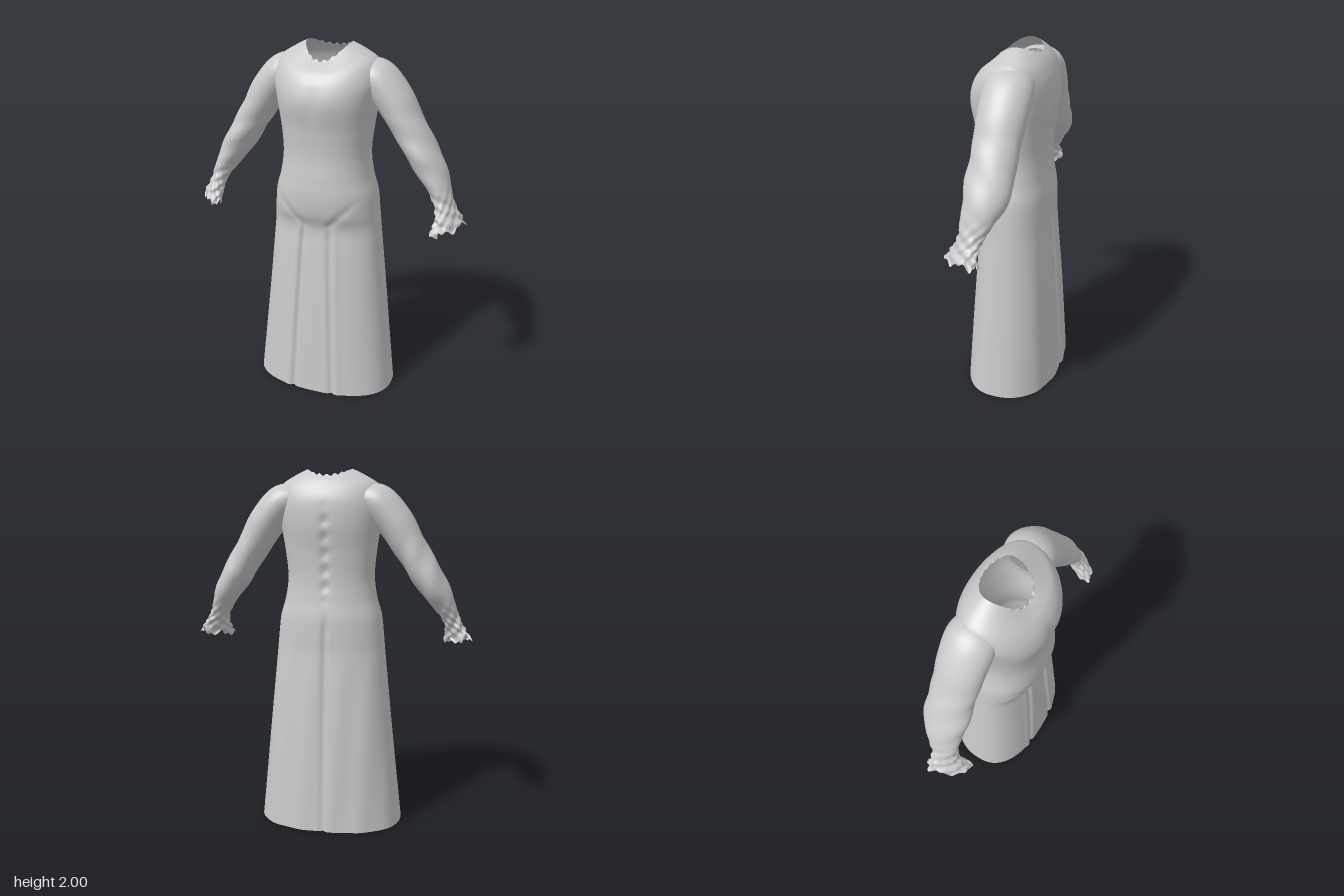
import * as THREE from 'three';

const cloth = new THREE.MeshStandardMaterial({ color: 0xc9c9c9, side: THREE.DoubleSide });
cloth.name = 'grey cloth';

// Smooth interpolation through rows of numbers, t in 0..1
function sampleRows(rows, t) {
  const f = t * (rows.length - 1);
  const i = Math.min(Math.floor(f), rows.length - 2);
  const k = f - i;
  const at = (j) => rows[Math.max(0, Math.min(rows.length - 1, j))];
  return rows[0].map((_, c) => {
    const [a, b, d, e] = [at(i - 1)[c], at(i)[c], at(i + 1)[c], at(i + 2)[c]];
    const m0 = (d - a) / 2, m1 = (e - b) / 2;
    return b + k * m0 + k * k * (3 * (d - b) - 2 * m0 - m1) + k * k * k * (2 * (b - d) + m0 + m1);
  });
}

// Open tube of closed rings; point(u, t) gives a position, u runs once round
function loft(point, around, along, flip) {
  const pos = [], idx = [];
  for (let j = 0; j <= along; j++)
    for (let i = 0; i < around; i++) pos.push(...point(i / around, j / along));
  for (let j = 0; j < along; j++)
    for (let i = 0; i < around; i++) {
      const n = (i + 1) % around;
      const a = j * around + i, b = j * around + n, c = a + around, d = b + around;
      if (flip) idx.push(a, b, c, b, d, c);
      else idx.push(a, c, b, b, c, d);
    }
  const g = new THREE.BufferGeometry();
  g.setAttribute('position', new THREE.Float32BufferAttribute(pos, 3));
  g.setIndex(idx);
  g.computeVertexNormals();
  return g;
}

// Gown rings: half width, front z, back z, widest z, side y, front y, back y
const gownRings = [
  [0.41, 0.27, -0.27, 0.02, 0, 0, 0],
  [0.378, 0.25, -0.253, 0.01, 0.3, 0.3, 0.3],
  [0.347, 0.228, -0.234, 0, 0.6, 0.6, 0.6],
  [0.322, 0.207, -0.215, 0, 0.85, 0.85, 0.85],
  [0.307, 0.194, -0.202, 0, 1.0, 1.0, 1.0],
  [0.297, 0.224, -0.2, 0, 1.1, 1.1, 1.1],
  [0.285, 0.234, -0.196, 0, 1.2, 1.2, 1.2],
  [0.257, 0.228, -0.183, 0, 1.3, 1.3, 1.3],
  [0.242, 0.217, -0.177, 0, 1.42, 1.42, 1.42],
  [0.254, 0.227, -0.186, -0.01, 1.56, 1.56, 1.56],
  [0.276, 0.25, -0.206, -0.015, 1.7, 1.7, 1.7],
  [0.295, 0.232, -0.204, -0.02, 1.81, 1.79, 1.82],
  [0.272, 0.196, -0.182, -0.03, 1.91, 1.85, 1.89],
  [0.205, 0.155, -0.155, -0.035, 1.96, 1.885, 1.935],
  [0.125, 0.113, -0.125, -0.03, 2.0, 1.912, 1.965],
];

const bump = (d, w) => Math.exp(-(d * d) / (w * w));
const ramp = THREE.MathUtils.smoothstep;

// Depth of the pressed-in seams and folds at x, y
function seamDepth(x, y, front) {
  const ax = Math.abs(x);
  if (front) {
    const below = 1 - ramp(y, 0.95, 1.06);
    const seamX = 0.075 + 0.045 * (1 - Math.min(y, 1));
    const seam = below * (0.014 * bump(ax - seamX, 0.012) - 0.005 * bump(ax - seamX - 0.035, 0.02));
    const groinX = 0.08 + (y - 1.03) * 0.9;
    const groin = 0.008 * bump(ax - groinX, 0.03) * ramp(y, 0.99, 1.06) * (1 - ramp(y, 1.1, 1.22));
    const chest = 0.006 * bump(x, 0.035) * bump(y - 1.72, 0.1);
    return seam + groin + chest;
  }
  const skirt = 0.015 * bump(x, 0.014) * (1 - ramp(y, 1.1, 1.25));
  const spine = bump(x, 0.025) * ramp(y, 1.25, 1.4) * (1 - ramp(y, 1.7, 1.85)) * (0.008 + 0.005 * Math.sin(y * 70));
  const folds = 0.003 * Math.sin(x * 38 + y * 2) * (1 - ramp(y, 0.8, 1.1));
  return skirt + spine + folds;
}

function gownPoint(u, t) {
  const [w, zf, zb, zc, ys, yf, yb] = sampleRows(gownRings, t);
  const a = u * Math.PI * 2;
  const c = Math.cos(a), s = Math.sin(a);
  const p = 2 / (2.35 - 0.35 * ramp(t, 0.55, 1)); // fuller hem, rounder neck
  const x = w * Math.sign(c) * Math.abs(c) ** p;
  const reach = Math.abs(s) ** p;
  const y = ys * c * c + (s > 0 ? yf : yb) * s * s;
  const press = seamDepth(x, y, s > 0) * Math.min(1, reach * 1.5);
  const z = s > 0 ? zc + (zf - zc) * reach - press : zc + (zb - zc) * reach + press;
  const torn = t > 0.99 ? 0.006 * Math.sin(a * 19) * ramp(Math.abs(s), 0.5, 1) : 0;
  return [x, Math.min(2, y + torn), z];
}

// Sleeve rings: centre x, y, z, radius across, radius in depth, twist
const sleeveRings = [
  [0.18, 1.845, -0.035, 0.075, 0.11, 0],
  [0.265, 1.82, -0.035, 0.1, 0.13, 0],
  [0.36, 1.715, -0.033, 0.1, 0.128, 0],
  [0.425, 1.61, -0.03, 0.091, 0.122, 0],
  [0.482, 1.52, -0.028, 0.086, 0.121, 0],
  [0.54, 1.425, -0.025, 0.083, 0.124, 0],
  [0.598, 1.335, -0.018, 0.073, 0.108, 0],
  [0.642, 1.255, 0.005, 0.056, 0.083, 0.1],
  [0.672, 1.185, 0.028, 0.044, 0.07, 0.3],
  [0.692, 1.125, 0.05, 0.043, 0.088, 0.5],
  [0.706, 1.07, 0.066, 0.05, 0.118, 0.55],
];

function sleevePoint(side) {
  return (u, t) => {
    const [x, y, z, ra, rb, twist] = sampleRows(sleeveRings, t);
    const p = sampleRows(sleeveRings, Math.max(0, t - 0.03));
    const q = sampleRows(sleeveRings, Math.min(1, t + 0.03));
    const len = Math.hypot(q[0] - p[0], q[1] - p[1]);
    const dx = (q[0] - p[0]) / len, dy = (q[1] - p[1]) / len;
    const a = u * Math.PI * 2;
    // shallow folds, crumpling toward the wrist
    const crumple = ramp(t, 0.62, 0.85);
    const fold = 1 + 0.025 * Math.sin(3 * a + t * 34) * ramp(t, 0.2, 0.4)
      + crumple * (0.07 * Math.sin(4 * a + t * 75) + 0.06 * Math.sin(7 * a - t * 48));
    const ca = Math.cos(a) * ra * fold, sb = Math.sin(a) * rb * fold;
    const across = ca * Math.cos(twist) - sb * Math.sin(twist);
    const depth = ca * Math.sin(twist) + sb * Math.cos(twist);
    // ragged cuff edge
    const rag = ramp(t, 0.92, 1) * (0.012 * Math.sin(5 * a + 1) + 0.009 * Math.sin(11 * a));
    return [side * (x - dy * across + dx * rag), y + dx * across + dy * rag, z + depth];
  };
}

export function createModel() {
  const robe = new THREE.Group();
  robe.name = 'robe';

  // Long gown with open neck and hem
  const gown = new THREE.Mesh(loft(gownPoint, 240, 140, false), cloth);
  gown.name = 'gown';
  robe.add(gown);

  // Mirrored sleeves with crumpled open cuffs
  for (const side of [1, -1]) {
    const sleeve = new THREE.Mesh(loft(sleevePoint(side), 72, 110, side < 0), cloth);
    sleeve.name = side > 0 ? 'leftSleeve' : 'rightSleeve';
    robe.add(sleeve);
  }
  return robe;
}
